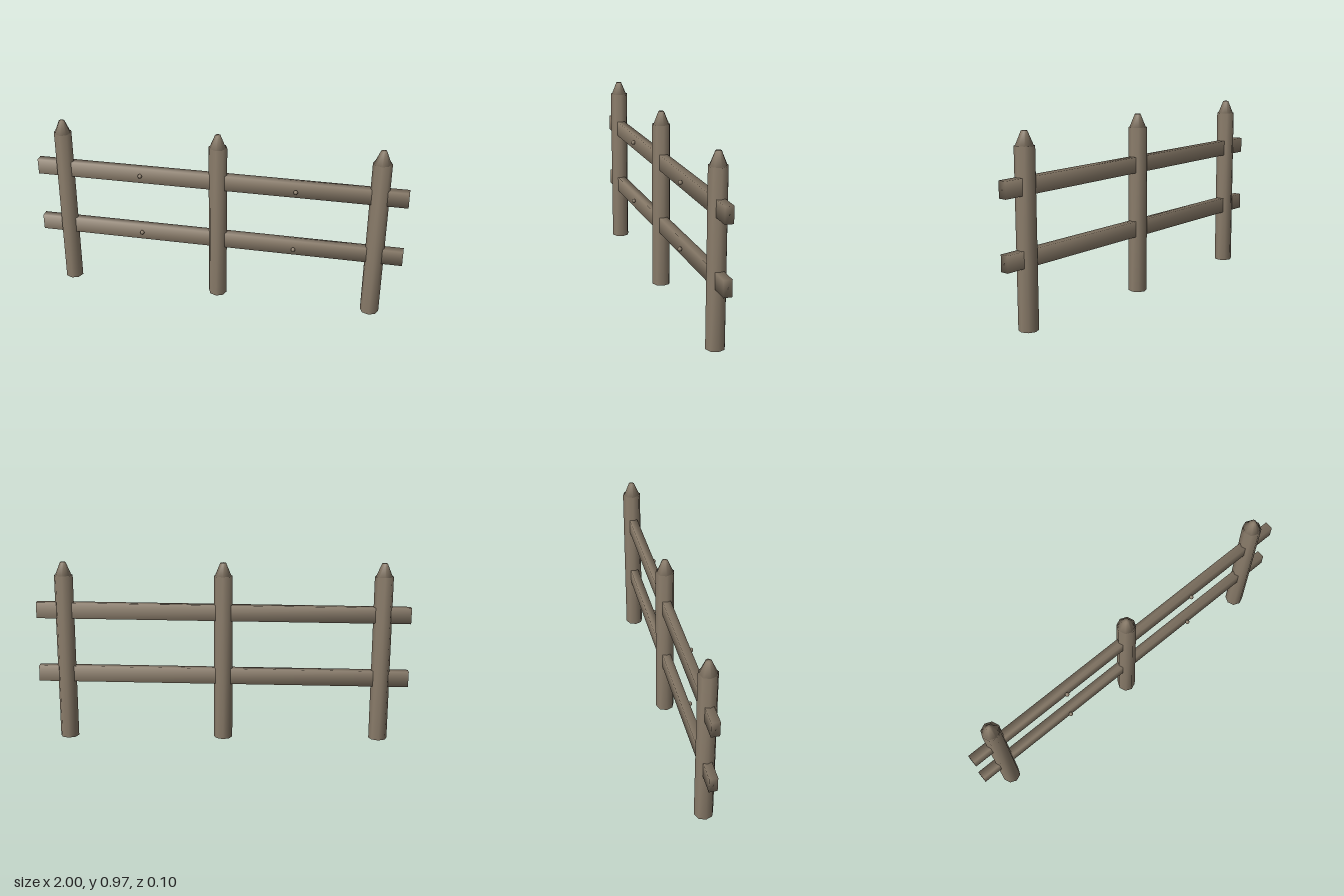
import * as THREE from 'three';
import { mergeVertices } from 'three/addons/utils/BufferGeometryUtils.js';

// Weld shared corners so the shading rolls softly over every edge
function soften(geometry) {
  geometry.deleteAttribute('uv');
  geometry.deleteAttribute('normal');
  const welded = mergeVertices(geometry, 1e-4);
  welded.computeVertexNormals();
  return welded;
}

export function createModel() {
  const fence = new THREE.Group();
  fence.name = 'fence';

  const wood = new THREE.MeshStandardMaterial({ color: 0x8b7d6b });
  wood.name = 'weathered wood';

  const postGeo = soften(new THREE.CylinderGeometry(0.05, 0.05, 0.9, 8));
  const tipGeo = soften(new THREE.CylinderGeometry(0.015, 0.044, 0.07, 8));
  const railGeo = soften(new THREE.BoxGeometry(2, 0.085, 0.044));
  const pegGeo = new THREE.SphereGeometry(0.012, 8, 6);

  const add = (name, geometry, x, y, z) => {
    const mesh = new THREE.Mesh(geometry, wood);
    mesh.name = name;
    mesh.position.set(x, y, z);
    fence.add(mesh);
    return mesh;
  };

  // Three round posts with blunt pointed tops
  for (const x of [-0.85, 0, 0.85]) {
    add('post', postGeo, x, 0.45, 0);
    add('postTip', tipGeo, x, 0.935, 0);
  }

  // Two slightly sloping rails, each with a pair of pegs on the front
  for (const y of [0.35, 0.7]) {
    add('rail', railGeo, 0, y + 0.001, 0).rotation.z = 0.0105;
    for (const side of [-1, 1]) add('peg', pegGeo, side * 0.42, y + 0.001, 0.034);
  }

  return fence;
}
